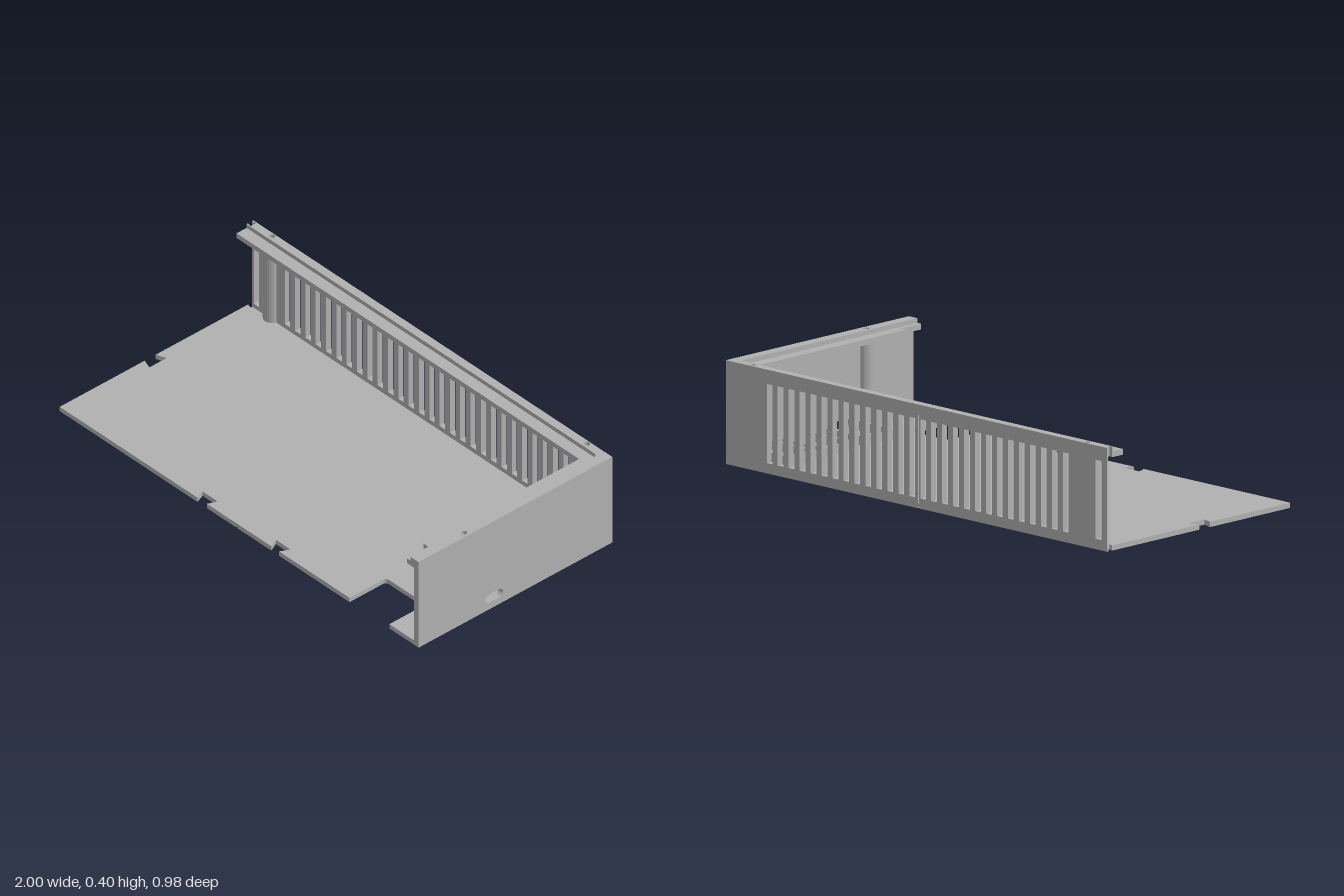
import * as THREE from 'three';

export function createModel() {
  const model = new THREE.Group();
  const grey = new THREE.MeshStandardMaterial({ color: 0xb0b0b0 });
  grey.name = 'plain grey';

  function add(geometry, name) {
    const mesh = new THREE.Mesh(geometry, grey);
    mesh.name = name;
    model.add(mesh);
    return mesh;
  }

  function box(name, x0, x1, y0, y1, z0, z1) {
    const g = new THREE.BoxGeometry(x1 - x0, y1 - y0, z1 - z0);
    g.translate((x0 + x1) / 2, (y0 + y1) / 2, (z0 + z1) / 2);
    add(g, name);
  }

  const extrude = (shape, depth) =>
    new THREE.ExtrudeGeometry(shape, { depth, bevelEnabled: false, curveSegments: 10 });

  // Plan outline of [x, z] points; four numbers make a curve: control point, end point
  function plan(points, holes = []) {
    const s = new THREE.Shape();
    points.forEach((p, i) => {
      if (i === 0) s.moveTo(p[0], -p[1]);
      else if (p.length === 4) s.quadraticCurveTo(p[0], -p[1], p[2], -p[3]);
      else s.lineTo(p[0], -p[1]);
    });
    for (const [x, z] of holes) s.holes.push(new THREE.Path().absarc(x, -z, 0.012, 0, Math.PI * 2));
    return s;
  }

  // Horizontal plate between two heights
  function slab(name, shape, y0, y1) {
    add(extrude(shape, y1 - y0).rotateX(-Math.PI / 2).translate(0, y0, 0), name);
  }

  function rectPath(path, a0, a1, b0, b1) {
    path.moveTo(a0, b0);
    path.lineTo(a1, b0);
    path.lineTo(a1, b1);
    path.lineTo(a0, b1);
    path.closePath();
    return path;
  }

  const floorTop = 0.02, wallTop = 0.36, wall = 0.025, back = -0.49, front = 0.49;
  const screwL = [-0.88, -0.475], screwR = [0.875, -0.475], screwSide = [0.978, 0.24];
  const seam0 = -0.018, seam1 = -0.008;

  // Floor: two halves with dovetail notches and a recessed seam between them
  const cornerNotch = [[-1, -0.482], [-0.98, -0.486], [-0.98, -0.458], [-1, -0.463]];
  slab('floorRightHalf', plan([
    [seam0, back], [-1, back], ...cornerNotch,
    [-1, 0.005], [-0.957, -0.012], [-0.957, 0.075], [-1, 0.06],
    [-1, front], [-0.232, front], [-0.248, 0.45], [-0.164, 0.45], [-0.18, front], [seam0, front],
  ], [screwL]), 0, floorTop);
  slab('floorLeftHalf', plan([
    [seam1, back], [seam1, front],
    [0.18, front], [0.16, 0.45], [0.242, 0.45], [0.222, front],
    [0.615, front], [0.615, 0.325], [0.615, 0.305, 0.635, 0.305],
    [0.817, 0.305], [0.837, 0.305, 0.837, 0.325], [0.837, front],
    [1, front], [1, back],
  ], [screwR, screwSide]), 0, floorTop);
  box('floorSeam', seam0, seam1, 0.005, floorTop, back, front);

  // Back wall: slotted panels between the screw bosses and the seam
  const r = 0.035;
  const slots = [];
  for (let i = 0; i < 32; i++) slots.push(-0.955 + i * 0.0575);
  const spans = [[-0.98, screwL[0] - r], [screwL[0] + r, seam0], [seam1, screwR[0] - r], [screwR[0] + r, 1]];
  for (const [a, b] of spans) {
    const s = rectPath(new THREE.Shape(), a, b, floorTop, wallTop);
    for (const x of slots) {
      if (x - 0.015 > a && x + 0.015 < b) {
        s.holes.push(rectPath(new THREE.Path(), x - 0.015, x + 0.015, 0.04, 0.345));
      }
    }
    add(extrude(s, wall).translate(0, 0, back), 'slottedBackPanel');
  }
  box('backSeam', seam0, seam1, floorTop, wallTop, back + 0.005, back + wall);
  box('backEndSkin', -1, -0.98, floorTop, wallTop, back, back + 0.005);

  // Side wall: two panels either side of its boss, the front one reaching past an oblong port
  const sideSpans = [[back + wall, screwSide[1] - r], [screwSide[1] + r, front]];
  for (const [a, b] of sideSpans) {
    const s = rectPath(new THREE.Shape(), -b, -a, floorTop, wallTop);
    if (a < 0) {
      const port = new THREE.Path();
      port.absarc(-0.083, 0.05, 0.019, -Math.PI / 2, Math.PI / 2);
      port.absarc(-0.131, 0.05, 0.019, Math.PI / 2, Math.PI * 1.5);
      port.closePath();
      s.holes.push(port);
    }
    add(extrude(s, wall).rotateY(Math.PI / 2).translate(1 - wall, 0, 0), 'sidePanel');
  }

  // Half-round screw bosses, bored through, set into the walls
  function boss(name, [cx, cz], onSide) {
    const pts = onSide ? [[1, cz - r], [1, cz + r]] : [[cx - r, back], [cx + r, back]];
    for (let i = 0; i <= 12; i++) {
      const a = (Math.PI * i) / 12;
      pts.push(onSide
        ? [cx - r * Math.sin(a), cz + r * Math.cos(a)]
        : [cx + r * Math.cos(a), cz + r * Math.sin(a)]);
    }
    slab(name, plan(pts, [[cx, cz]]), floorTop, wallTop);
  }
  boss('backScrewBossRight', screwL, false);
  boss('backScrewBossLeft', screwR, false);
  boss('sideScrewBoss', screwSide, true);

  // Rim: a wide inner ledge with a raised outer lip
  const screws = [screwL, screwR, screwSide];
  slab('rimLedge', plan([
    [-1, back], ...cornerNotch, [-1, -0.405], [0.908, -0.405], [0.908, 0.382],
    [0.935, 0.382], [0.935, front], [1, front], [1, back],
  ], screws), wallTop, 0.382);
  slab('rimLip', plan([
    [-1, back], ...cornerNotch, [-1, -0.455], [0.935, -0.455],
    [0.955, -0.455, 0.955, -0.435], [0.955, front], [1, front], [1, back],
  ], screws), 0.382, 0.4);

  // Low locating frames along the side wall, open toward it
  const t = 0.012, frameTop = 0.055, inner = 1 - wall;
  for (const [x, z0, z1] of [[0.753, -0.405, -0.255], [0.753, -0.215, -0.055], [0.77, 0.015, 0.195]]) {
    box('frameFront', x, x + t, floorTop, frameTop, z0, z1);
    box('frameEnd', x + t, inner, floorTop, frameTop, z0, z0 + t);
    box('frameEnd', x + t, inner, floorTop, frameTop, z1 - t, z1);
  }

  return model;
}
